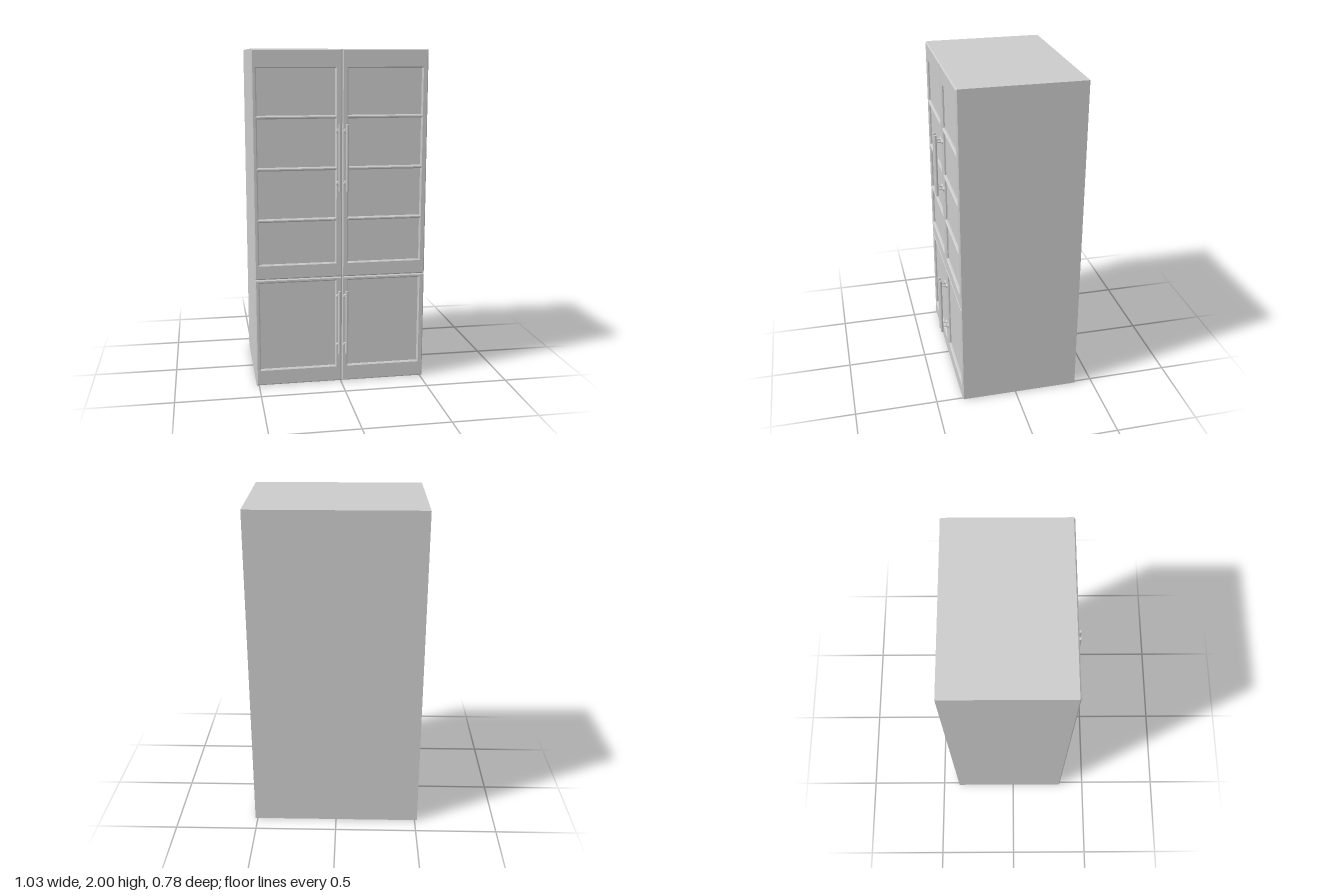
import * as THREE from 'three';

const material = new THREE.MeshStandardMaterial({ color: 0xcccccc });
const HALF_W = 0.515, BACK = -0.39, CARCASS_FRONT = 0.322, FRONT = 0.338;
const SEAM_X = 0.007, SEAM_Y = 0.66, BEVEL = 0.007;

function addMesh(parent, name, geometry, x = 0, y = 0, z = 0) {
  const mesh = new THREE.Mesh(geometry, material);
  mesh.name = name;
  mesh.position.set(x, y, z);
  parent.add(mesh);
  return mesh;
}

function traceRect(path, x0, x1, y0, y1) {
  path.moveTo(x0, y0);
  path.lineTo(x1, y0);
  path.lineTo(x1, y1);
  path.lineTo(x0, y1);
  path.closePath();
  return path;
}

// Bevelled door frame with one opening per pane; its rear bevel sinks into the carcass
function doorFrame([x0, x1], [y0, y1], [px0, px1], rows) {
  const shape = traceRect(new THREE.Shape(), x0, x1, y0, y1);
  for (const [b, t] of rows) shape.holes.push(traceRect(new THREE.Path(), px0, px1, b, t));
  return new THREE.ExtrudeGeometry(shape, {
    depth: FRONT - BEVEL - CARCASS_FRONT,
    bevelEnabled: true,
    bevelThickness: BEVEL,
    bevelSize: BEVEL,
    bevelOffset: -BEVEL,
    bevelSegments: 1,
  });
}

// Upright bar on two posts with round base flanges
function createHandle(name, x, y) {
  const handle = new THREE.Group();
  handle.name = name;
  handle.position.set(x, y, 0);
  addMesh(handle, 'handleBar', new THREE.CylinderGeometry(0.009, 0.009, 0.39, 16), 0, 0, 0.38);
  for (const py of [-0.153, 0.153]) {
    const post = new THREE.CylinderGeometry(0.005, 0.005, 0.045, 12).rotateX(Math.PI / 2);
    addMesh(handle, 'handlePost', post, 0, py, 0.3585);
    const flange = new THREE.CylinderGeometry(0.012, 0.016, 0.009, 16).rotateX(Math.PI / 2);
    addMesh(handle, 'handleFlange', flange, 0, py, 0.341);
  }
  return handle;
}

export function createModel() {
  const cabinet = new THREE.Group();
  cabinet.name = 'cabinet';

  // Carcass; its front face forms the recessed panels behind the frames
  const depth = CARCASS_FRONT - BACK;
  addMesh(cabinet, 'carcass', new THREE.BoxGeometry(HALF_W * 2, 2, depth), 0, 1, BACK + depth / 2);

  const tiers = [
    { name: 'lower', span: [0, SEAM_Y], rows: [[0.1, 0.636]], handleY: 0.385 },
    {
      name: 'upper', span: [SEAM_Y, 2], handleY: 1.38,
      rows: [[0.75, 1.003], [1.023, 1.305], [1.325, 1.605], [1.625, 1.892]],
    },
  ];
  const sides = [
    { name: 'Right', span: [-HALF_W, SEAM_X], pane: [-0.487, -0.033], handleX: -0.015 },
    { name: 'Left', span: [SEAM_X, HALF_W], pane: [0.043, 0.48], handleX: 0.029 },
  ];

  // Four doors, each with its handle beside the central seam
  for (const tier of tiers) {
    for (const side of sides) {
      const door = new THREE.Group();
      door.name = `${tier.name}${side.name}Door`;
      const frame = doorFrame(side.span, tier.span, side.pane, tier.rows);
      addMesh(door, 'doorFrame', frame, 0, 0, CARCASS_FRONT);
      door.add(createHandle('handle', side.handleX, tier.handleY));
      cabinet.add(door);
    }
  }
  return cabinet;
}
